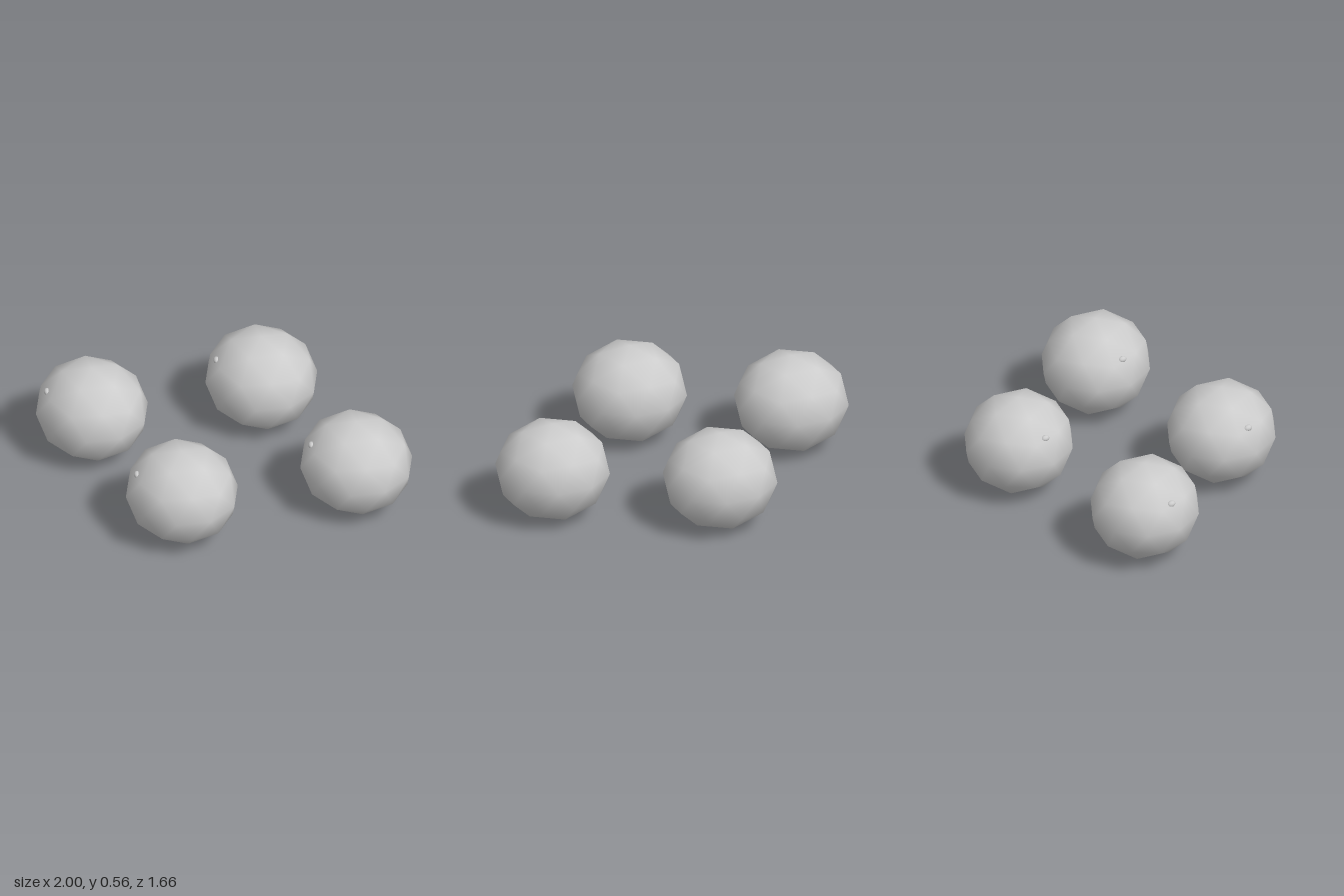
import * as THREE from 'three';

// Four slightly flattened low-poly balls, each with a small raised nub
export function createModel() {
  const group = new THREE.Group();
  const grey = new THREE.MeshStandardMaterial({ color: 0xcccccc });
  grey.name = 'grey';

  // Subdivided icosahedron with a corner pointing straight up
  const ball = new THREE.IcosahedronGeometry(1, 1);
  ball.rotateZ(-Math.atan(2 / (1 + Math.sqrt(5))));
  ball.scale(0.321, 0.28, 0.306);

  // Small oval nub lying against the upper front of the ball
  const nub = new THREE.SphereGeometry(1, 12, 8);
  nub.scale(0.026, 0.018, 0.018);
  const outward = new THREE.Vector3(-0.53, 0.54, 0.65);
  nub.lookAt(outward);
  nub.translate(-0.158, 0.14, 0.19);

  const centres = [[-0.695, 0.313], [0.173, 0.525], [-0.205, -0.525], [0.695, -0.318]];
  centres.forEach(([x, z], i) => {
    const unit = new THREE.Group();
    unit.name = `ballUnit${i + 1}`;
    for (const [name, geometry] of [['ball', ball], ['nub', nub]]) {
      const mesh = new THREE.Mesh(geometry, grey);
      mesh.name = name;
      unit.add(mesh);
    }
    unit.position.set(x, 0.28, z);
    group.add(unit);
  });

  return group;
}
